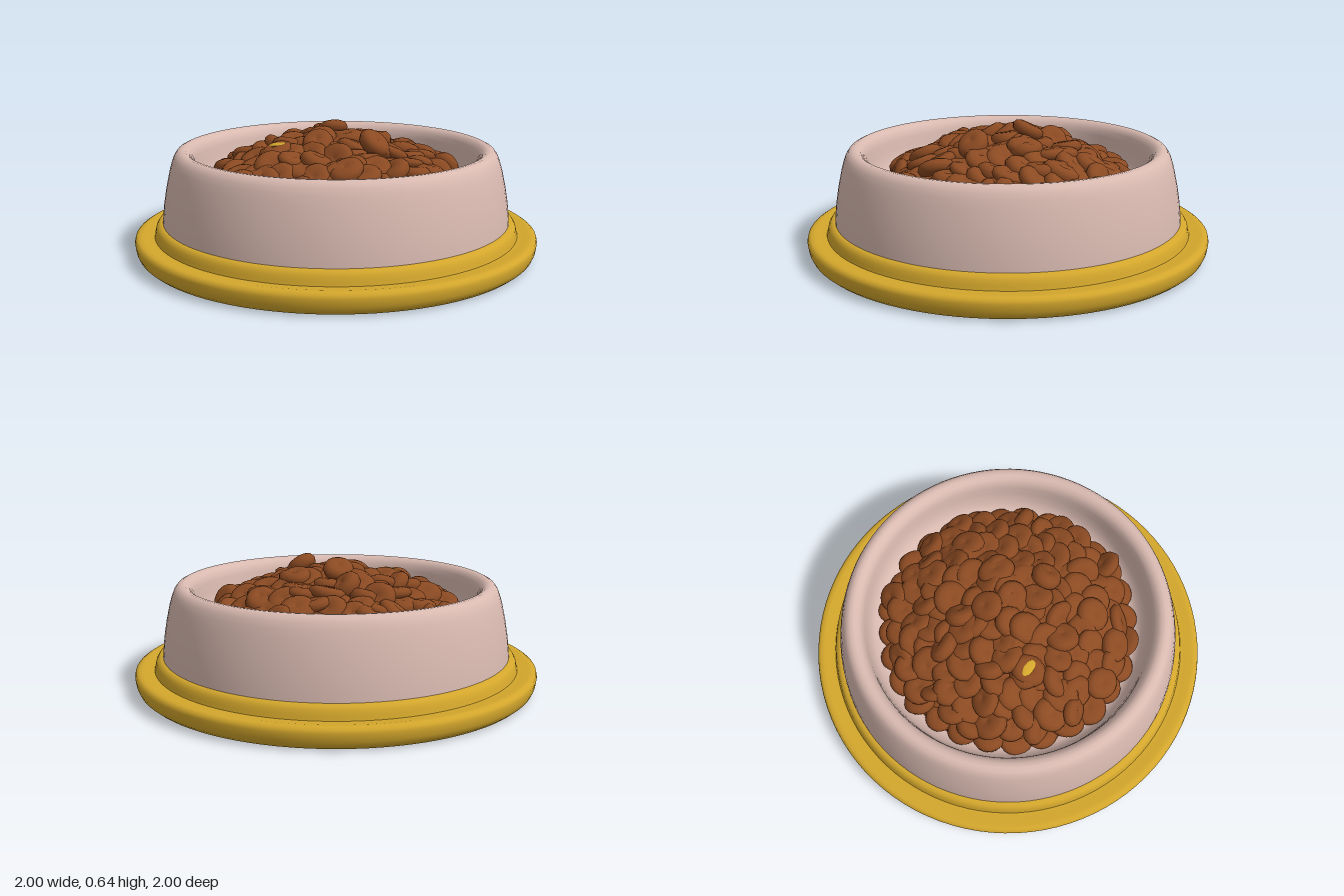
import * as THREE from 'three';
import { toCreasedNormals } from 'three/addons/utils/BufferGeometryUtils.js';

const material = (name, color) => {
  const m = new THREE.MeshStandardMaterial({ color });
  m.name = name;
  return m;
};

// Surface of revolution from [radius, height] pairs
const lathe = (pairs, segments) =>
  new THREE.LatheGeometry(pairs.map(([x, y]) => new THREE.Vector2(x, y)), segments);

// Small seeded generator, returns -1..1
function seeded(seed) {
  return () => {
    seed = (seed * 16807) % 2147483647;
    return (seed / 2147483647) * 2 - 1;
  };
}

export function createModel() {
  const group = new THREE.Group();
  const yellow = material('yellow', 0xd4a72c);
  const pink = material('pale pink', 0xd9bab1);
  const brown = material('kibble brown', 0x8b4a22);

  const add = (name, geometry, mat, parent = group) => {
    const mesh = new THREE.Mesh(geometry, mat);
    mesh.name = name;
    parent.add(mesh);
    return mesh;
  };

  // Stepped base with a rounded outer lip
  const base = lathe([
    [0, 0], [0.94, 0], [0.965, 0.005], [0.985, 0.022], [0.995, 0.045], [1, 0.08],
    [0.996, 0.097], [0.982, 0.106], [0.96, 0.107], [0.93, 0.102], [0.905, 0.102],
    [0.9, 0.12], [0.895, 0.142], [0.885, 0.157], [0.872, 0.165], [0.84, 0.165], [0, 0.165],
  ], 96);
  add('base', toCreasedNormals(base, 0.8), yellow);

  // Bowl: sloping outer wall, rounded rim, inner wall and floor
  const bowl = lathe([
    [0.863, 0.15], [0.86, 0.19], [0.852, 0.26], [0.838, 0.34], [0.82, 0.42], [0.808, 0.46],
    [0.797, 0.488], [0.782, 0.509], [0.762, 0.519], [0.742, 0.517], [0.724, 0.506],
    [0.71, 0.485], [0.703, 0.455], [0.698, 0.41], [0.688, 0.36], [0.668, 0.315],
    [0.635, 0.29], [0.58, 0.28], [0, 0.28],
  ], 96);
  add('bowl', toCreasedNormals(bowl, 0.8), pink);

  // Heap of kibble over a solid filling
  const heapHeight = (r) => 0.54 - 0.5 * r * r;
  const filling = [[0.62, 0.27]];
  for (let r = 0.6; r > 0.01; r -= 0.1) filling.push([r, heapHeight(r) - 0.035]);
  filling.push([0, heapHeight(0) - 0.035]);
  add('filling', lathe(filling, 48), brown);

  const piece = lathe([
    [0, -0.024], [0.03, -0.03], [0.055, -0.028], [0.074, -0.019], [0.083, 0],
    [0.074, 0.019], [0.055, 0.028], [0.03, 0.03], [0.012, 0.026], [0, 0.023],
  ], 20);
  const kibble = new THREE.Group();
  kibble.name = 'kibble';
  group.add(kibble);
  const rand = seeded(4711);
  const place = (x, y, z, tiltX, tiltZ) => {
    const mesh = add('kibblePiece', piece, brown, kibble);
    mesh.position.set(x, y, z);
    mesh.rotation.set(tiltX, rand() * 3, tiltZ);
    mesh.scale.set(1 + rand() * 0.12, 1.1 + rand() * 0.2, 1 + rand() * 0.12);
  };

  // Spiral of pieces that lean with the slope of the heap
  const count = 125;
  for (let i = 0; i < count; i++) {
    const r = 0.58 * Math.sqrt((i + 0.5) / count);
    const a = i * 2.39996;
    const x = r * Math.cos(a) + rand() * 0.018;
    const z = r * Math.sin(a) + rand() * 0.018;
    place(x, heapHeight(r) + rand() * 0.018, z, z * 0.9 + rand() * 0.45, -x * 0.9 + rand() * 0.45);
  }
  // Lower ring around the edge
  for (let i = 0; i < 28; i++) {
    const a = (i / 28) * Math.PI * 2;
    place(0.575 * Math.cos(a), 0.315 + rand() * 0.01, 0.575 * Math.sin(a), rand() * 0.3, rand() * 0.3);
  }
  // Upper pieces that make the peaks of the heap
  place(-0.06, 0.59, -0.08, 0.25, 0.65);
  place(0.24, 0.56, 0.06, 0.1, -0.7);
  place(0.06, 0.555, -0.02, 0.15, 0.1);
  place(-0.2, 0.535, -0.12, -0.2, 0.3);
  place(0.13, 0.55, -0.16, -0.3, -0.1);
  place(-0.19, 0.515, 0.25, 0.2, 0.15);

  // Small yellow spot among the kibble
  const spot = add('yellowSpot', new THREE.SphereGeometry(0.045, 16, 8), yellow);
  spot.scale.set(1, 0.1, 0.55);
  spot.position.set(-0.19, 0.55, 0.25);
  spot.rotation.set(0.2, 0, 0.15);
  return group;
}
